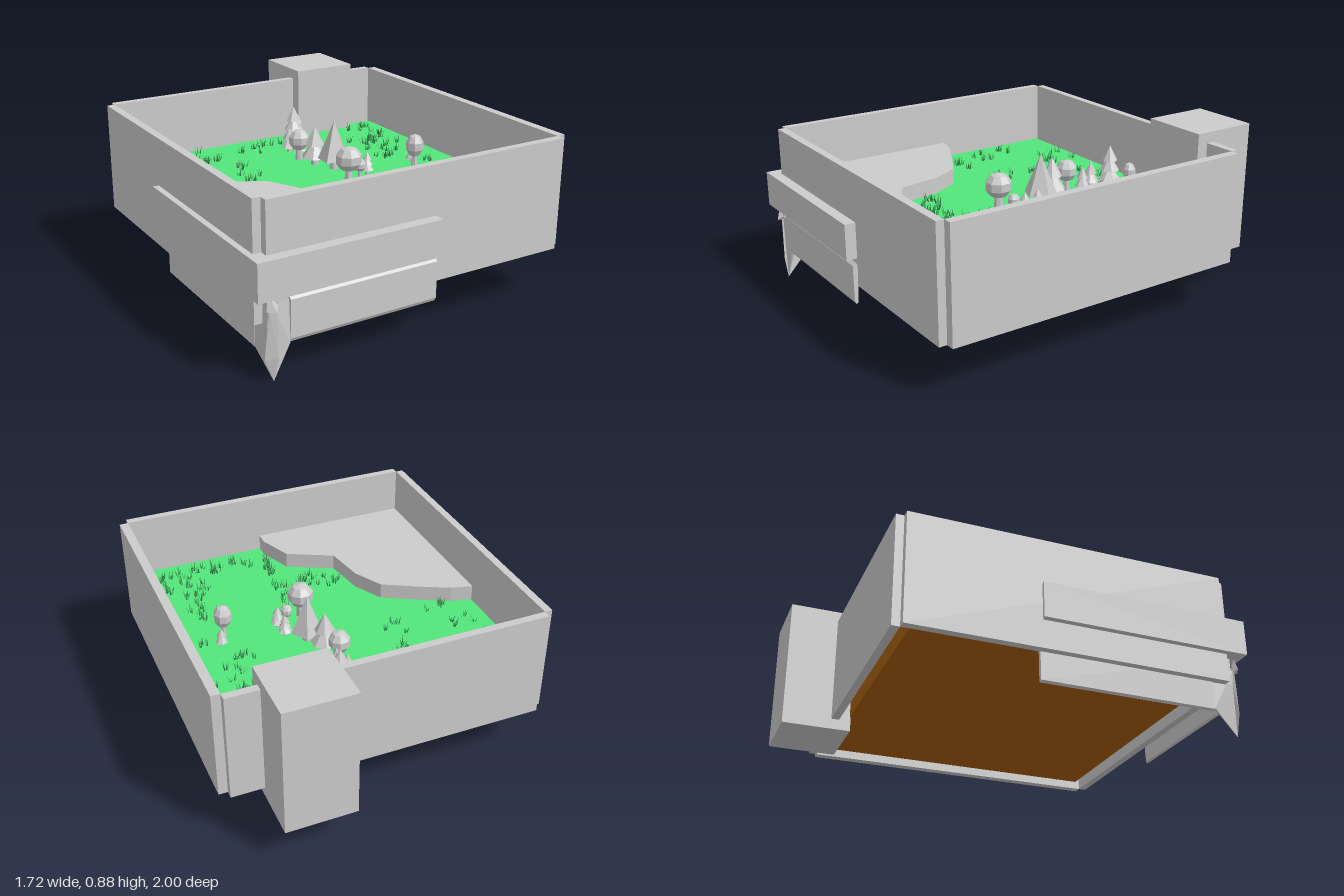
import * as THREE from 'three';
import { mergeGeometries } from 'three/addons/utils/BufferGeometryUtils.js';
import { ConvexGeometry } from 'three/addons/geometries/ConvexGeometry.js';

const GROUND = 0.5;
const grey = new THREE.MeshStandardMaterial({ color: 0xcccccc, flatShading: true, side: THREE.DoubleSide });
const grass = new THREE.MeshStandardMaterial({ color: 0x52e67a });
const dirt = new THREE.MeshStandardMaterial({ color: 0xaa6010 });
const blade = new THREE.MeshStandardMaterial({ color: 0x3a9a52, side: THREE.DoubleSide });

function add(parent, name, geometry, material = grey) {
  const mesh = new THREE.Mesh(geometry, material);
  mesh.name = name;
  parent.add(mesh);
  return mesh;
}

// box given by its limits on each axis
function block(parent, name, [x0, x1], [y0, y1], [z0, z1], material) {
  const mesh = add(parent, name, new THREE.BoxGeometry(x1 - x0, y1 - y0, z1 - z0), material);
  mesh.position.set((x0 + x1) / 2, (y0 + y1) / 2, (z0 + z1) / 2);
  return mesh;
}

const shapeOf = (pts) => new THREE.Shape(pts.map(([x, y]) => new THREE.Vector2(x, y)));
const extrude = (pts, depth) => new THREE.ExtrudeGeometry(shapeOf(pts), { depth, bevelEnabled: false });

// pine: trunk with stacked five-sided cones
function pine(r, h, tiers) {
  const g = new THREE.Group();
  g.name = 'pineTree';
  const trunkH = h * 0.2;
  add(g, 'trunk', new THREE.CylinderGeometry(r * 0.25, r * 0.3, trunkH * 1.5, 6)).position.y = trunkH * 0.75;
  const step = (h - trunkH) / (tiers + 0.5);
  for (let i = 0; i < tiers; i++) {
    const s = 1 - (i * 0.55) / tiers;
    const cone = add(g, 'needles', new THREE.ConeGeometry(r * s, step * 1.5, tiers > 1 ? 7 : 5));
    cone.position.y = trunkH + step * (i + 0.75);
    cone.rotation.y = i * 0.7;
  }
  return g;
}

// leafy tree: trunk with a faceted crown
function roundTree(r, h) {
  const g = new THREE.Group();
  g.name = 'roundTree';
  const crownH = h * 0.7;
  add(g, 'trunk', new THREE.CylinderGeometry(r * 0.25, r * 0.35, h * 0.45, 6)).position.y = h * 0.225;
  const crown = add(g, 'crown', new THREE.SphereGeometry(1, 8, 5));
  crown.scale.set(r, crownH / 2, r);
  crown.position.y = h - crownH / 2;
  return g;
}

// small seeded random numbers
function seeded(seed) {
  return () => {
    seed = (seed * 16807) % 2147483647;
    return seed / 2147483647;
  };
}

// tufts of thin triangular blades scattered over patches
function grassTufts() {
  const rnd = seeded(77);
  const patches = [ // x range, z range, number of tufts
    [-0.7, -0.55, -0.4, -0.15, 7], [-0.5, -0.3, -0.65, -0.45, 11], [-0.38, -0.22, -0.35, -0.08, 7],
    [-0.7, -0.5, -0.06, 0.0, 5], [-0.15, 0.18, -0.6, -0.45, 9], [0.45, 0.62, -0.4, -0.05, 17],
    [0.58, 0.72, -0.6, -0.2, 12], [-0.2, 0.0, 0.36, 0.52, 13], [0.02, 0.2, 0.25, 0.5, 9],
    [0.08, 0.2, 0.6, 0.75, 11], [0.2, 0.48, 0.74, 0.82, 13], [0.45, 0.72, 0.6, 0.82, 18],
    [0.5, 0.65, 0.3, 0.6, 14], [0.62, 0.72, 0.08, 0.12, 2],
  ];
  const pos = [];
  for (const [x0, x1, z0, z1, count] of patches) {
    for (let i = 0; i < count; i++) {
      const cx = x0 + (x1 - x0) * rnd(), cz = z0 + (z1 - z0) * rnd();
      for (let k = 0; k < 6; k++) {
        const a = rnd() * Math.PI * 2, d = 0.018 * rnd(), h = 0.025 + 0.025 * rnd();
        const x = cx + d * Math.cos(a), z = cz + d * Math.sin(a);
        const wx = 0.004 * Math.sin(a), wz = -0.004 * Math.cos(a);
        pos.push(x - wx, GROUND, z - wz, x + wx, GROUND, z + wz,
          x + 0.012 * Math.cos(a), GROUND + h, z + 0.012 * Math.sin(a));
      }
    }
  }
  const g = new THREE.BufferGeometry();
  g.setAttribute('position', new THREE.Float32BufferAttribute(pos, 3));
  g.computeVertexNormals();
  return g;
}

export function createModel() {
  const model = new THREE.Group();
  model.name = 'walledGarden';

  // lawn on a narrower bed of earth
  block(model, 'lawn', [-0.79, 0.81], [0.42, GROUND], [-0.7, 0.9], grass);
  block(model, 'earth', [-0.745, 0.765], [0.285, 0.42], [-0.655, 0.855], dirt);

  // four walls and the square pillar at the back
  const wallY = [0.26, 0.825];
  block(model, 'frontWall', [-0.79, 0.81], wallY, [0.9, 0.94]);
  block(model, 'backWall', [-0.79, 0.81], wallY, [-0.75, -0.71]);
  block(model, 'rightWall', [-0.83, -0.79], wallY, [-0.71, 0.9]);
  block(model, 'leftWall', [0.81, 0.855], wallY, [-0.71, 0.9]);
  block(model, 'pillar', [0.29, 0.645], [0.205, 0.88], [-1, -0.65]);

  // raised slab across one corner with a ragged bank
  const bank = [[-0.86, -0.065], [-0.79, -0.05], [-0.68, -0.02], [-0.52, 0.06], [-0.35, 0.155], [-0.27, 0.31],
    [-0.235, 0.53], [0, 0.65], [0.07, 0.83], [0.07, 0.995], [-0.86, 0.995]];
  const slab = add(model, 'cornerSlab', extrude(bank, 0.18));
  slab.rotation.x = Math.PI / 2;
  slab.position.y = 0.583;

  // hanging sheets under the slab: along the front, then along the side
  const frontProfile = [[-0.945, 0.18], [-0.955, 0.172], [-0.965, 0.19], [-0.965, 0.37], [-0.95, 0.385], [-0.94, 0.37]];
  const frontSheet = add(model, 'frontSheet', extrude(frontProfile, 0.76));
  frontSheet.rotation.y = Math.PI / 2;
  frontSheet.position.x = -0.69;
  const sideProfile = [[-0.775, 0.12], [-0.785, 0.11], [-0.795, 0.12], [-0.795, 0.37], [-0.775, 0.37]];
  const sideSheet = add(model, 'sideSheet', extrude(sideProfile, 0.89));
  sideSheet.position.z = -0.06;

  // pointed drip joining the two sheets, and a spur above it
  const hull = (pts) => new ConvexGeometry(pts.map((p) => new THREE.Vector3(...p)));
  add(model, 'cornerDrip', mergeGeometries([
    hull([[-0.77, 0.005, 0.955], [-0.81, 0.11, 0.95], [-0.79, 0.345, 0.96], [-0.76, 0.34, 0.97],
      [-0.755, 0.12, 0.975], [-0.775, 0.36, 0.945]]),
    hull([[-0.77, 0.005, 0.955], [-0.69, 0.172, 0.945], [-0.69, 0.172, 0.96], [-0.69, 0.375, 0.95],
      [-0.77, 0.345, 0.96], [-0.77, 0.345, 0.95]]),
    hull([[-0.77, 0.005, 0.955], [-0.785, 0.125, 0.83], [-0.795, 0.125, 0.83], [-0.785, 0.37, 0.83],
      [-0.79, 0.34, 0.95], [-0.775, 0.34, 0.95]]),
    hull([[-0.79, 0.41, 0.965], [-0.81, 0.345, 0.97], [-0.77, 0.34, 0.99], [-0.75, 0.36, 0.965], [-0.78, 0.33, 0.945]]),
  ]));

  // trees: x, z, radius, height, tiers (0 = round crown)
  const trees = [
    [0.23, -0.57, 0.035, 0.14, 0], [0.165, -0.49, 0.065, 0.23, 3], [0.095, -0.42, 0.045, 0.14, 2],
    [0.12, -0.345, 0.04, 0.13, 2], [0.075, -0.275, 0.057, 0.17, 0], [0.105, -0.16, 0.072, 0.21, 2],
    [0.155, -0.05, 0.085, 0.26, 1], [0.245, 0.03, 0.037, 0.12, 3], [0.255, 0.115, 0.037, 0.12, 3],
    [0.195, 0.14, 0.032, 0.1, 0], [0.105, 0.17, 0.07, 0.19, 0], [0.535, 0.145, 0.048, 0.18, 0],
    [0.57, 0.07, 0.032, 0.1, 2],
  ];
  trees.forEach(([x, z, r, h, tiers], i) => {
    const tree = tiers ? pine(r, h, tiers) : roundTree(r, h);
    tree.position.set(x, GROUND, z);
    tree.rotation.y = i * 1.3;
    model.add(tree);
  });

  add(model, 'grassTufts', grassTufts(), blade);
  return model;
}
